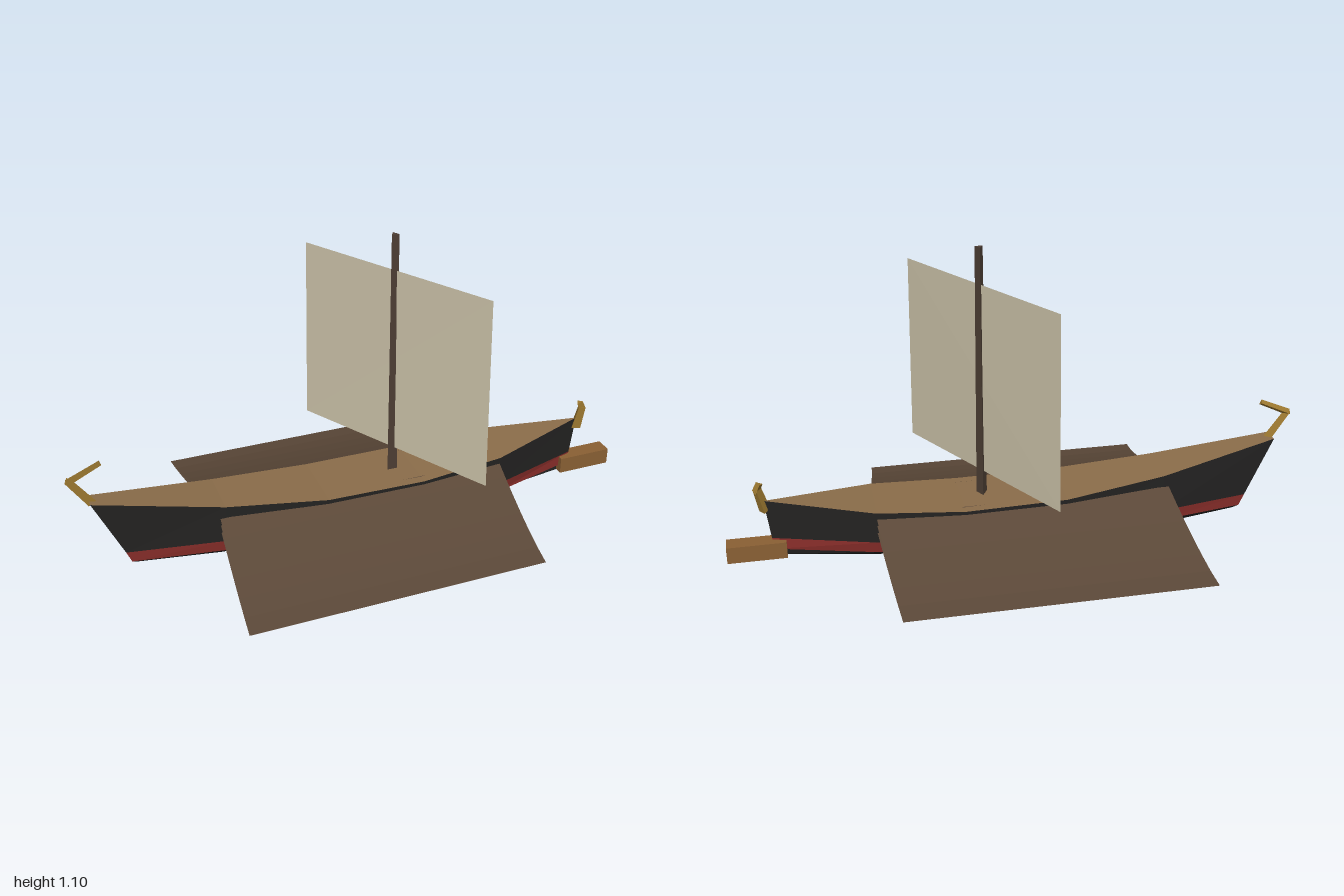
import * as THREE from 'three';

const mat = (color, side = THREE.FrontSide) =>
  new THREE.MeshStandardMaterial({ color, side, flatShading: true });
const BLACK = mat(0x242322);
const RED = mat(0x8c2f2b);
const DECK = mat(0x8b6d4a);
const WOOD = mat(0x8a6034);
const GOLD = mat(0x9c7830);
const MAST = mat(0x4d3e34);
const OARS = mat(0x5b4838, THREE.DoubleSide);
const SAIL = mat(0xcdc4aa, THREE.DoubleSide);

// Surface through successive rows of points, each row [[x, y, z], ...]
function strip(name, rows, material) {
  const pos = [];
  for (let r = 0; r < rows.length - 1; r++) {
    const a = rows[r], b = rows[r + 1];
    for (let i = 0; i < a.length - 1; i++) {
      pos.push(...a[i], ...a[i + 1], ...b[i + 1], ...a[i], ...b[i + 1], ...b[i]);
    }
  }
  const geo = new THREE.BufferGeometry();
  geo.setAttribute('position', new THREE.Float32BufferAttribute(pos, 3));
  geo.computeVertexNormals();
  const mesh = new THREE.Mesh(geo, material);
  mesh.name = name;
  return mesh;
}

// Three-sided tapered pole between two points
function pole(name, from, to, r0, r1, material) {
  const a = new THREE.Vector3(...from), b = new THREE.Vector3(...to);
  const dir = b.clone().sub(a);
  const geo = new THREE.CylinderGeometry(r1, r0, dir.length(), 3);
  geo.rotateY(Math.PI);
  const mesh = new THREE.Mesh(geo, material);
  mesh.quaternion.setFromUnitVectors(new THREE.Vector3(0, 1, 0), dir.normalize());
  mesh.position.copy(a.add(b).multiplyScalar(0.5));
  mesh.name = name;
  return mesh;
}

function makeHull() {
  const hull = new THREE.Group();
  hull.name = 'hull';
  // Stations from stern to bow
  const x = [0, -0.5, -0.15, 0.2, 0.5, 0];
  const half = [0.03, 0.09, 0.12, 0.124, 0.108, 0];
  const keelY = [0.055, 0.016, 0.003, 0.002, 0.015, 0.055];
  const deckY = [0.335, 0.26, 0.222, 0.217, 0.235, 0.265];
  // Levels: keel, band bottom, band top, deck
  const levels = [
    { stern: -0.8, bow: 0.82, wide: 0, y: (i) => keelY[i] },
    { stern: -0.813, bow: 0.842, wide: 0.86, y: () => 0.078 },
    { stern: -0.83, bow: 0.847, wide: 0.95, y: () => 0.121 },
    { stern: -0.925, bow: 0.865, wide: 1, y: (i) => deckY[i] },
  ];
  const row = (l, side) => x.map((v, i) => [
    i === 0 ? l.stern : i === 5 ? l.bow : v, l.y(i), side * half[i] * l.wide]);
  const left = levels.map((l) => row(l, 1));
  const right = levels.map((l) => row(l, -1));

  // Planking on both sides, with the red waterline band in the middle
  const parts = [['bottomPlanking', BLACK], ['waterlineBand', RED], ['topPlanking', BLACK]];
  parts.forEach(([name, material], k) => {
    hull.add(strip(name, [left[k], left[k + 1]], material));
    hull.add(strip(name, [right[k + 1], right[k]], material));
  });
  hull.add(strip('deck', [left[3], right[3]], DECK));
  hull.add(strip('transom', [left.map((r) => r[0]), right.map((r) => r[0])], BLACK));
  return hull;
}

// Three stacked, sagging banks of oars per side, meeting at the blades
function makeOars(side) {
  const bank = new THREE.Group();
  bank.name = side > 0 ? 'frontOars' : 'backOars';
  for (const startY of [0.21, 0.183, 0.154]) {
    const rows = [];
    for (let j = 0; j <= 6; j++) {
      const t = j / 6;
      const z = 0.09 + 0.437 * t;
      const y = 0.083 + (startY + 0.008 - 0.083) * Math.pow(1 - t, 1.35);
      const shift = -0.035 * t;
      rows.push([[-0.52 + shift, y, side * z], [0.5 + shift, y, side * z]]);
    }
    bank.add(strip('oarBank', side > 0 ? rows.reverse() : rows, OARS));
  }
  return bank;
}

export function createModel() {
  const ship = new THREE.Group();
  ship.name = 'galley';
  ship.add(makeHull(), makeOars(1), makeOars(-1));

  // Ram at the bow
  const ram = new THREE.Mesh(new THREE.BoxGeometry(0.2, 0.06, 0.06), WOOD);
  ram.position.set(0.9, 0.085, 0);
  ram.name = 'ram';
  ship.add(ram);

  // Mast and the angled square sail
  ship.add(pole('mast', [0.125, 0.19, 0], [0.125, 1.097, 0], 0.021, 0.015, MAST));
  ship.add(strip('sail', [
    [[-0.07, 0.305, -0.342], [0.322, 0.305, 0.342]],
    [[-0.064, 0.972, -0.327], [0.317, 0.972, 0.327]],
  ], SAIL));

  // Curled posts at stern and bow
  ship.add(pole('sternPost', [-0.915, 0.325, 0], [-0.983, 0.425, 0], 0.017, 0.014, GOLD));
  ship.add(pole('sternCurl', [-0.985, 0.419, 0], [-0.876, 0.468, 0], 0.014, 0.011, GOLD));
  ship.add(pole('bowPost', [0.862, 0.227, 0], [0.882, 0.308, 0], 0.022, 0.017, GOLD));
  ship.add(pole('bowCurl', [0.886, 0.298, 0], [0.872, 0.33, 0], 0.015, 0.013, GOLD));
  return ship;
}
